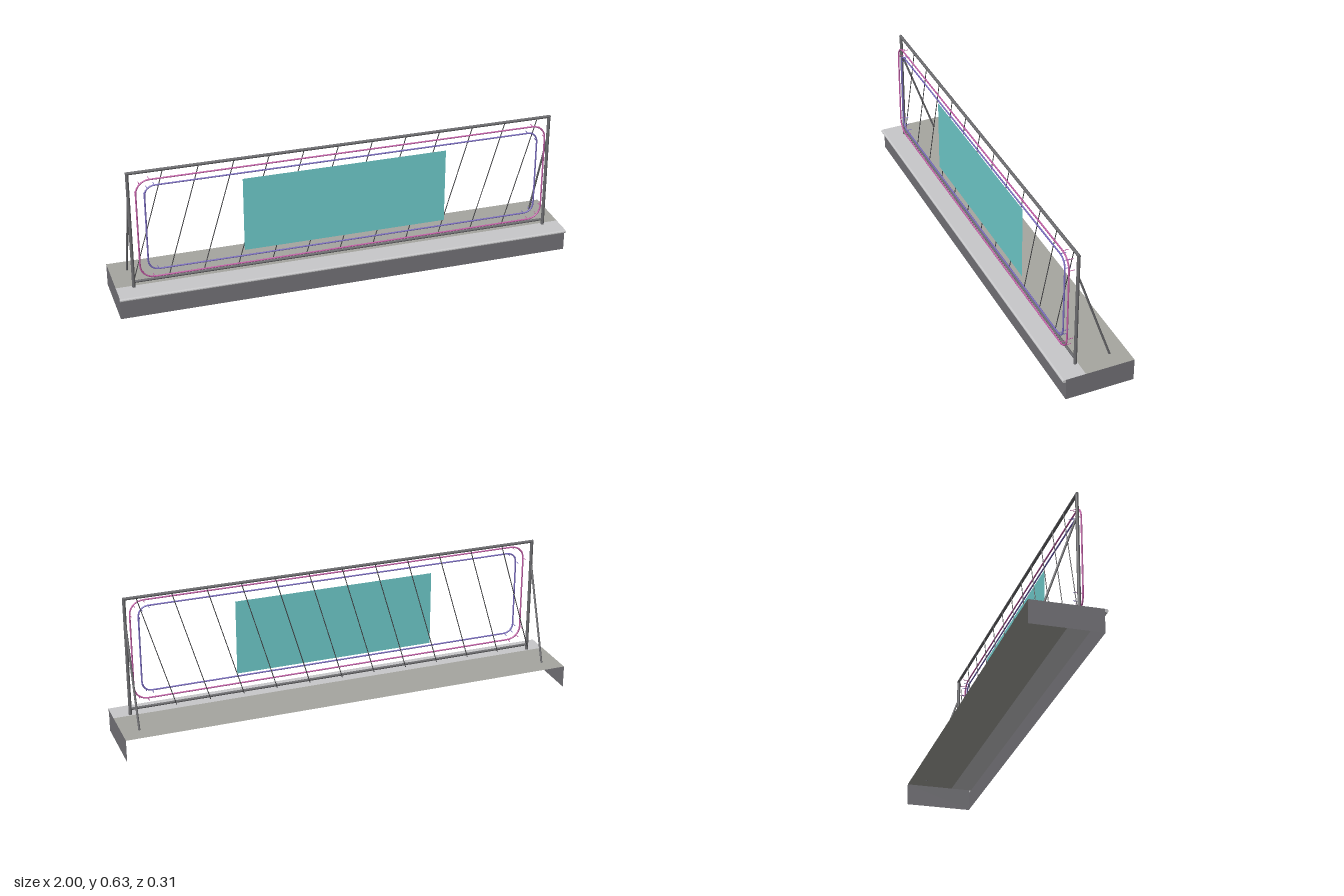
import * as THREE from 'three';

const mat = (name, color, side = THREE.FrontSide) => {
  const m = new THREE.MeshStandardMaterial({ color, side });
  m.name = name;
  return m;
};

export function createModel() {
  const wallGrey = mat('wall grey', 0x747378, THREE.DoubleSide);
  const deckGrey = mat('deck grey', 0xa6a6a0, THREE.DoubleSide);
  const edgeGrey = mat('light edge grey', 0xc8c8ca, THREE.DoubleSide);
  const frameGrey = mat('frame grey', 0x6c6c6f);
  const wireDark = mat('wire dark', 0x47474a);
  const pink = mat('pink', 0xc45fa8);
  const violet = mat('violet', 0x7a6cc0);
  const teal = mat('teal', 0x6fcccc, THREE.DoubleSide);

  const model = new THREE.Group();
  model.name = 'framedBarrier';
  const add = (name, geometry, material) => {
    const mesh = new THREE.Mesh(geometry, material);
    mesh.name = name;
    model.add(mesh);
    return mesh;
  };

  // Sheet swept along x from a profile of [z, y] points
  const sheet = (points) => {
    const pos = [];
    for (let i = 0; i < points.length - 1; i++) {
      const [z0, y0] = points[i], [z1, y1] = points[i + 1];
      pos.push(-1, y0, z0, -1, y1, z1, 1, y0, z0, 1, y0, z0, -1, y1, z1, 1, y1, z1);
    }
    const g = new THREE.BufferGeometry();
    g.setAttribute('position', new THREE.Float32BufferAttribute(pos, 3));
    g.computeVertexNormals();
    return g;
  };

  // Straight round bar between two points
  const bar = (name, a, b, r, material, sides = 10) => {
    const from = new THREE.Vector3(...a), to = new THREE.Vector3(...b);
    const dir = to.clone().sub(from);
    const mesh = add(name, new THREE.CylinderGeometry(r, r, dir.length(), sides), material);
    mesh.position.copy(from).add(to).multiplyScalar(0.5);
    mesh.quaternion.setFromUnitVectors(new THREE.Vector3(0, 1, 0), dir.normalize());
  };

  // Base: thin shell, open at the bottom and back
  const back = -0.157, front = 0.143, top = 0.1, split = 0.057;
  add('deck', sheet([[back, top], [split, top]]), deckGrey);
  add('frontWall', sheet([[front, 0.086], [front, 0]]), wallGrey);
  for (const s of [-1, 1]) {
    const end = add('endWall', new THREE.PlaneGeometry(front - back, top), wallGrey);
    end.rotation.y = s * Math.PI / 2;
    end.position.set(s, top / 2, (front + back) / 2);
  }

  // Light front strip with rounded nosing
  const nose = [[front, top]];
  for (let i = 0; i <= 8; i++) {
    const t = Math.PI / 2 - i * Math.PI / 8;
    nose.push([0.151 + 0.007 * Math.cos(t), 0.093 + 0.007 * Math.sin(t)]);
  }
  nose.push([front, 0.086]);
  add('frontEdge', sheet([[split, top], ...nose]), edgeGrey);
  const capShape = new THREE.Shape(nose.map(([z, y]) => new THREE.Vector2(-z, y)));
  for (const s of [-1, 1]) {
    const cap = add('noseCap', new THREE.ShapeGeometry(capShape), edgeGrey);
    cap.rotation.y = Math.PI / 2;
    cap.position.x = s;
  }

  // Frame: posts, rails and rear struts
  const px = 0.925, pz = 0.068;
  for (const s of [-1, 1]) {
    bar('post', [s * px, top, pz], [s * px, 0.627, pz], 0.007, frameGrey, 12);
    bar('rearStrut', [s * px, 0.515, 0.062], [s * px, 0.098, -0.084], 0.0045, frameGrey);
  }
  bar('topRail', [-px - 0.006, 0.627, pz], [px + 0.006, 0.627, pz], 0.0065, frameGrey, 12);
  bar('bottomRail', [-px, 0.125, pz], [px, 0.125, pz], 0.0055, frameGrey, 12);

  // Slanted wires behind the panel
  for (let i = 0; i < 12; i++) {
    const x = -0.775 + i * 0.15;
    bar('slantedWire', [x, 0.627, 0.061], [x - 0.15, 0.115, 0.061], 0.002, wireDark, 6);
  }

  // Rounded light tubes, held on short pins at the corners
  const tz = 0.0935;
  const roundedTube = (name, hx, y0, y1, r, material) => {
    const path = new THREE.CurvePath();
    const corners = [[1, y1, 0], [-1, y1, 1], [-1, y0, 2], [1, y0, 3]];
    const arcs = corners.map(([sx, y, q]) => {
      const cx = sx * (hx - r), cy = y === y1 ? y1 - r : y0 + r;
      return [0, 1, 2, 3, 4, 5, 6].map((k) => {
        const t = (q + k / 6) * Math.PI / 2;
        return new THREE.Vector3(cx + r * Math.cos(t), cy + r * Math.sin(t), tz);
      });
    });
    const pts = arcs.flat();
    pts.forEach((p, i) => path.add(new THREE.LineCurve3(p, pts[(i + 1) % pts.length])));
    // Even spacing puts many samples on each corner
    add(name, new THREE.TubeGeometry(path, 320, 0.0035, 8, true), material);
    for (const arc of arcs) {
      for (const k of [0, 3, 6]) {
        const p = arc[k];
        bar(name + 'Pin', [p.x, p.y, pz], [p.x, p.y, tz], 0.0015, material, 6);
      }
    }
  };
  roundedTube('outerTube', 0.898, 0.151, 0.601, 0.058, pink);
  roundedTube('innerTube', 0.862, 0.185, 0.573, 0.042, violet);

  // Central panel
  add('panel', new THREE.PlaneGeometry(0.895, 0.335), teal).position.set(0, 0.371, 0.081);

  return model;
}
